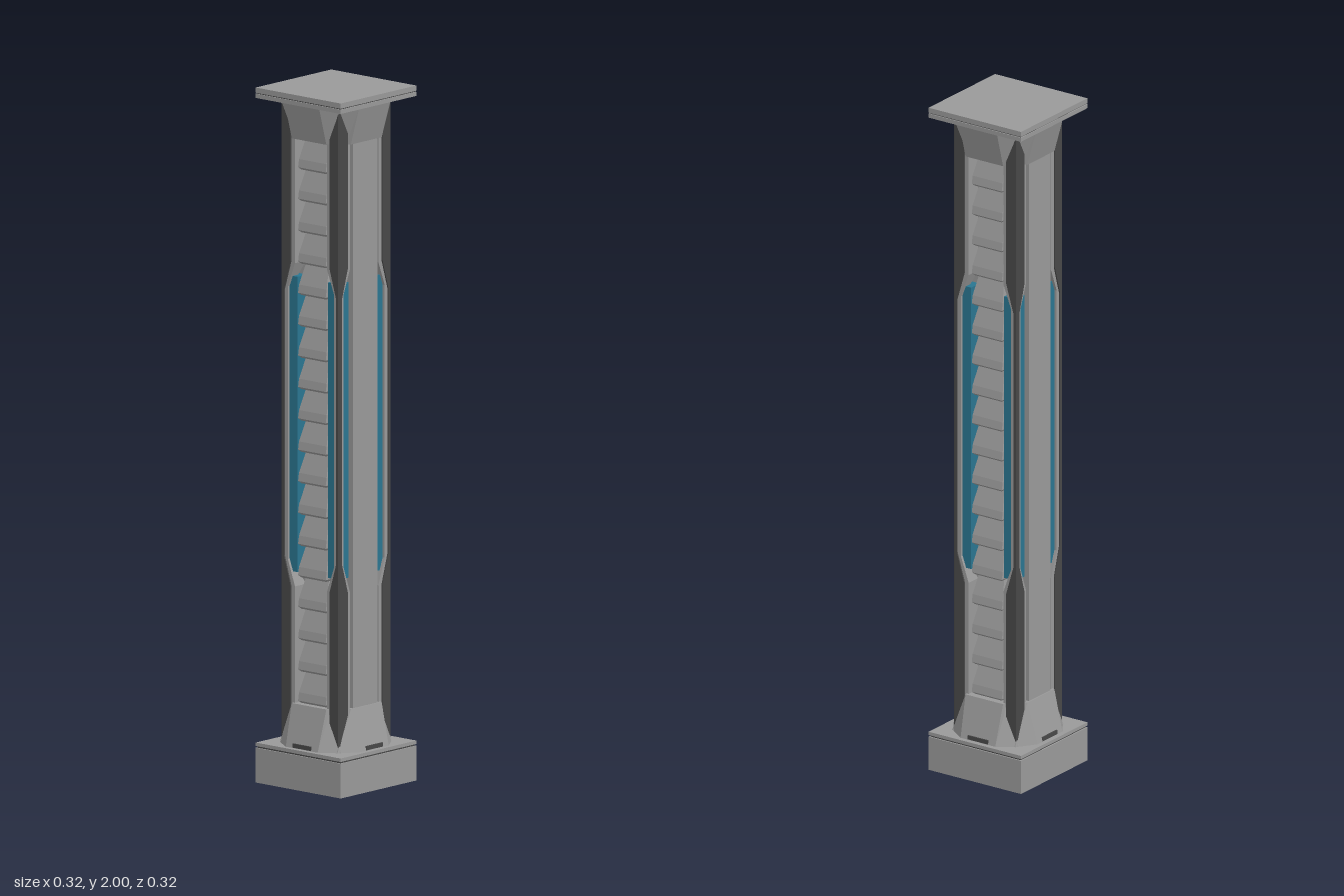
import * as THREE from 'three';

const stone = new THREE.MeshStandardMaterial({ color: 0x999999 });
stone.name = 'grey metal';
const dark = new THREE.MeshStandardMaterial({ color: 0x484848 });
dark.name = 'dark metal';
const teal = new THREE.MeshStandardMaterial({ color: 0x2a7590 });
teal.name = 'teal glass';

// Closed solid through convex cross-sections, bottom to top.
// Each section is { y, pts: [[x, z], ...] }, counter-clockwise from above.
function loft(sections) {
  const pos = [];
  const put = (s, i) => pos.push(s.pts[i][0], s.y, s.pts[i][1]);
  const n = sections[0].pts.length;
  for (let k = 0; k < sections.length - 1; k++) {
    const lo = sections[k], hi = sections[k + 1];
    for (let i = 0; i < n; i++) {
      const j = (i + 1) % n;
      put(lo, i); put(lo, j); put(hi, j);
      put(lo, i); put(hi, j); put(hi, i);
    }
  }
  const first = sections[0], last = sections[sections.length - 1];
  for (let i = 1; i < n - 1; i++) {
    put(last, 0); put(last, i); put(last, i + 1);
    put(first, 0); put(first, i + 1); put(first, i);
  }
  const g = new THREE.BufferGeometry();
  g.setAttribute('position', new THREE.Float32BufferAttribute(pos, 3));
  g.computeVertexNormals();
  return g;
}

const rect = (y, x, z) => ({ y, pts: [[x, z], [x, -z], [-x, -z], [-x, z]] });

// Corner section reaching from inner edge a to outer edge o, outer edge chamfered
const corner = (y, a, o, c = 0.004) => ({
  y, pts: [[o - c, o], [o, o - c], [o, a], [a, a], [a, o]],
});

// Flare section: outer face half-width w at depth z, sides running back to half-width v at depth u
const flare = (y, w, z, v, u) => ({
  y, pts: [[w, z], [v, u], [v, 0.02], [-v, 0.02], [-v, u], [-w, z]],
});

export function createModel() {
  const model = new THREE.Group();
  const add = (name, geo, mat, parent = model) => {
    const m = new THREE.Mesh(geo, mat);
    m.name = name;
    parent.add(m);
    return m;
  };
  const slab = (name, y0, y1, half, mat) => {
    const g = new THREE.BoxGeometry(half * 2, y1 - y0, half * 2);
    g.translate(0, (y0 + y1) / 2, 0);
    add(name, g, mat);
  };

  // Plinth and top plates, with thin shadow gaps
  slab('plinth', 0, 0.1, 0.16, stone);
  slab('plinthGap', 0.1, 0.105, 0.156, dark);
  slab('plinthPlate', 0.105, 0.115, 0.16, stone);
  slab('capLowerPlate', 1.97, 1.982, 0.16, stone);
  slab('capGap', 1.982, 1.985, 0.157, dark);
  slab('capUpperPlate', 1.985, 2, 0.16, stone);
  slab('footCore', 0.115, 0.235, 0.07, stone);
  slab('headCore', 1.86, 1.97, 0.07, stone);

  // Corner posts: dark outer shell, light trim and glass behind the recess
  const notch = (near, far, o, c, y) => loft([
    corner(0.115, near, o, c), corner(y[0], near, o, c), corner(y[1], far, o, c),
    corner(y[2], far, o, c), corner(y[3], near, o, c), corner(1.97, near, o, c),
  ]);
  const postGeo = notch(0.073, 0.098, 0.11, 0.004, [0.57, 0.655, 1.42, 1.505]);
  const trimGeo = notch(0.06, 0.087, 0.106, 0.004, [0.57, 0.645, 1.43, 1.5]);
  const glassGeo = loft([corner(0.61, 0.057, 0.098), corner(1.46, 0.057, 0.098)]);

  // Flares at the foot and head of each face
  const footGeo = loft([
    flare(0.115, 0.06, 0.145, 0.115, 0.108), flare(0.235, 0.065, 0.114, 0.07, 0.1),
  ]);
  const headGeo = loft([
    flare(1.86, 0.065, 0.114, 0.07, 0.1), flare(1.97, 0.065, 0.145, 0.115, 0.108),
  ]);
  const slotGeo = new THREE.BoxGeometry(0.07, 0.012, 0.008);
  slotGeo.translate(0, 0.122, 0.1415);

  for (let i = 0; i < 4; i++) {
    const side = new THREE.Group();
    side.name = 'side' + (i + 1);
    side.rotation.y = i * Math.PI / 2;
    model.add(side);
    add('cornerPost', postGeo, dark, side);
    add('cornerTrim', trimGeo, stone, side);
    add('glassStrip', glassGeo, teal, side);
    add('footFlare', footGeo, stone, side);
    add('headFlare', headGeo, stone, side);
    add('footSlot', slotGeo, dark, side);
  }

  // Flat panels on the front and back
  for (const s of [1, -1]) {
    const g = new THREE.BoxGeometry(0.104, 1.63, 0.045);
    g.translate(0, 1.0475, s * 0.0875);
    add(s > 0 ? 'frontPanel' : 'backPanel', g, stone);
  }

  // Stacked tapered slats filling the left and right sides
  const count = 18, y0 = 0.235, step = (1.86 - y0) / count;
  const slatGeo = loft([
    rect(0, 0.094, 0.046), rect(0.007, 0.102, 0.052),
    rect(0.03, 0.098, 0.052), rect(step, 0.078, 0.043),
  ]);
  for (let i = 0; i < count; i++) {
    add('slat', slatGeo, stone).position.y = y0 + i * step;
  }
  return model;
}
